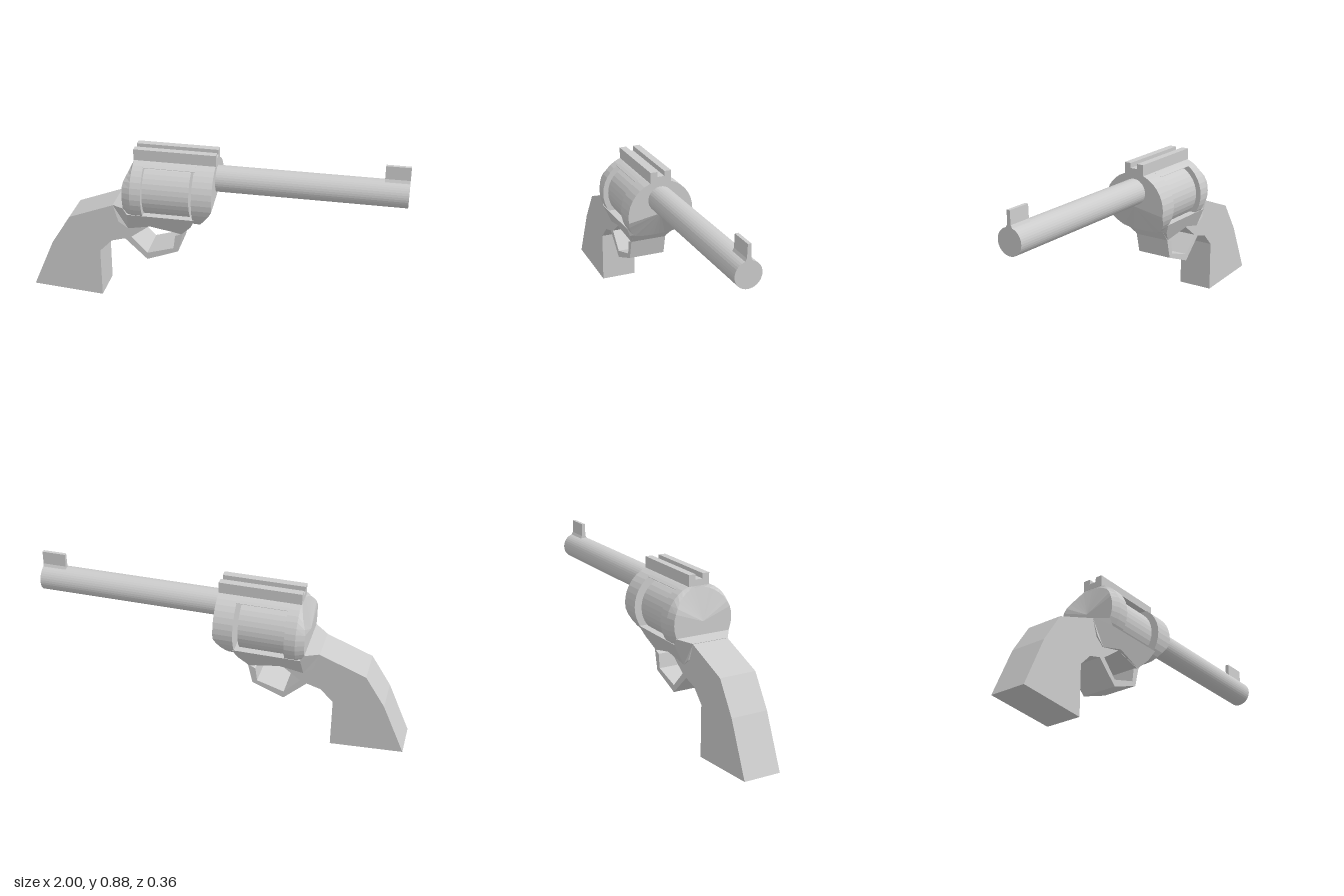
import * as THREE from 'three';

const AXIS_Y = 0.648; // height of the drum axis
const material = new THREE.MeshStandardMaterial({ color: 0xcccccc, flatShading: true });

function addMesh(group, name, geometry) {
  const mesh = new THREE.Mesh(geometry, material);
  mesh.name = name;
  group.add(mesh);
}

const toPoints = (pairs) => pairs.map(([a, b]) => new THREE.Vector2(a, b));

// Side profile (x, y), extruded symmetrically over the width
function sideExtrude(outline, width, hole) {
  const shape = new THREE.Shape(toPoints(outline));
  if (hole) shape.holes.push(new THREE.Path(toPoints(hole)));
  return new THREE.ExtrudeGeometry(shape, { depth: width, bevelEnabled: false }).translate(0, 0, -width / 2);
}

// Mirrored end profile: the given half (z, y) runs bottom to top, extruded from x0 to x1
function endExtrude(half, x0, x1) {
  const mirrored = half.map(([z, y]) => [-z, y]).reverse();
  const shape = new THREE.Shape(toPoints([...half, ...mirrored]));
  return new THREE.ExtrudeGeometry(shape, { depth: x1 - x0, bevelEnabled: false })
    .rotateY(Math.PI / 2).translate(x0, 0, 0);
}

// Round bar along x
function bar(radiusBack, radiusFront, x0, x1, y, sides = 36) {
  return new THREE.CylinderGeometry(radiusFront, radiusBack, x1 - x0, sides)
    .rotateZ(-Math.PI / 2).translate((x0 + x1) / 2, y, 0);
}

// Move each vertex by a rule
function reshape(geometry, rule) {
  const p = geometry.attributes.position;
  const v = new THREE.Vector3();
  for (let i = 0; i < p.count; i++) {
    rule(v.fromBufferAttribute(p, i));
    p.setXYZ(i, v.x, v.y, v.z);
  }
  geometry.computeVertexNormals();
  return geometry;
}

// Shallow curved underside shared by the round frame ends
const trimBottom = (v) => { v.y = Math.max(v.y, 0.485 + 1.5 * v.z * v.z); };

export function createModel() {
  const group = new THREE.Group();

  // Grip, lower frame and trigger guard in one slab
  addMesh(group, 'gripAndGuard', sideExtrude([
    [-1, 0.03], [-0.613, 0.003], [-0.613, 0.28], [-0.545, 0.35], [-0.47, 0.372],
    [-0.35, 0.257], [-0.18, 0.323], [-0.155, 0.43], [-0.11, 0.485], [-0.11, 0.53],
    [-0.46, 0.575], [-0.53, 0.565], [-0.775, 0.47], [-0.88, 0.305],
  ], 0.2, [
    [-0.435, 0.385], [-0.325, 0.467], [-0.165, 0.428], [-0.195, 0.415], [-0.205, 0.34], [-0.35, 0.295],
  ]));

  // Flared cradle below the drum, widening upward and forward from the grip
  const cradle = sideExtrude([
    [-0.53, 0.567], [-0.5, 0.475], [-0.45, 0.437], [-0.325, 0.468], [-0.16, 0.43],
    [-0.105, 0.49], [-0.08, 0.545], [-0.44, 0.545], [-0.46, 0.58],
  ], 2);
  reshape(cradle, (v) => {
    const up = THREE.MathUtils.clamp((v.y - 0.43) / 0.115, 0, 1);
    const along = THREE.MathUtils.clamp((v.x + 0.53) / 0.07, 0, 1);
    v.z *= 0.1 + 0.053 * up * along;
  });
  addMesh(group, 'cradle', cradle);

  // Rear frame: a round plate and a tapered back with a sloped top
  addMesh(group, 'rearPlate', reshape(bar(0.182, 0.182, -0.415, -0.357, AXIS_Y), trimBottom));
  addMesh(group, 'rearShield', reshape(bar(0.165, 0.182, -0.46, -0.415, AXIS_Y), (v) => {
    if (v.x < -0.43 && v.y > 0.72) v.x += (v.y - 0.72) * 0.45;
    trimBottom(v);
  }));

  // Front frame with its lower front edge cut back
  addMesh(group, 'frontPlate', reshape(bar(0.182, 0.182, -0.09, 0.015, AXIS_Y), (v) => {
    if (v.x > 0 && v.y < 0.61) v.x -= (0.61 - v.y) * 0.7;
    trimBottom(v);
  }));

  // Top strap joining both frame ends
  const strap = [[0.1, 0.798]];
  for (let i = 0; i <= 6; i++) {
    const a = 0.58 * (1 - i / 6);
    strap.push([0.182 * Math.sin(a), AXIS_Y + 0.182 * Math.cos(a)]);
  }
  strap[strap.length - 1][0] = 0.001;
  addMesh(group, 'topStrap', endExtrude(strap, -0.36, -0.085));

  // Drum
  addMesh(group, 'drum', bar(0.153, 0.153, -0.36, -0.11, AXIS_Y));

  // Barrel and front sight
  addMesh(group, 'barrel', bar(0.07, 0.07, 0, 1, 0.728));
  addMesh(group, 'frontSight', endExtrude([
    [0.03, 0.78], [0.018, 0.797], [0.011, 0.81], [0.009, 0.88],
  ], 0.873, 1));

  // Grooved rear sight rail
  addMesh(group, 'sightRail', endExtrude([
    [0.058, 0.82], [0.058, 0.88], [0.02, 0.88], [0.02, 0.853],
  ], -0.418, 0.016));

  return group;
}
